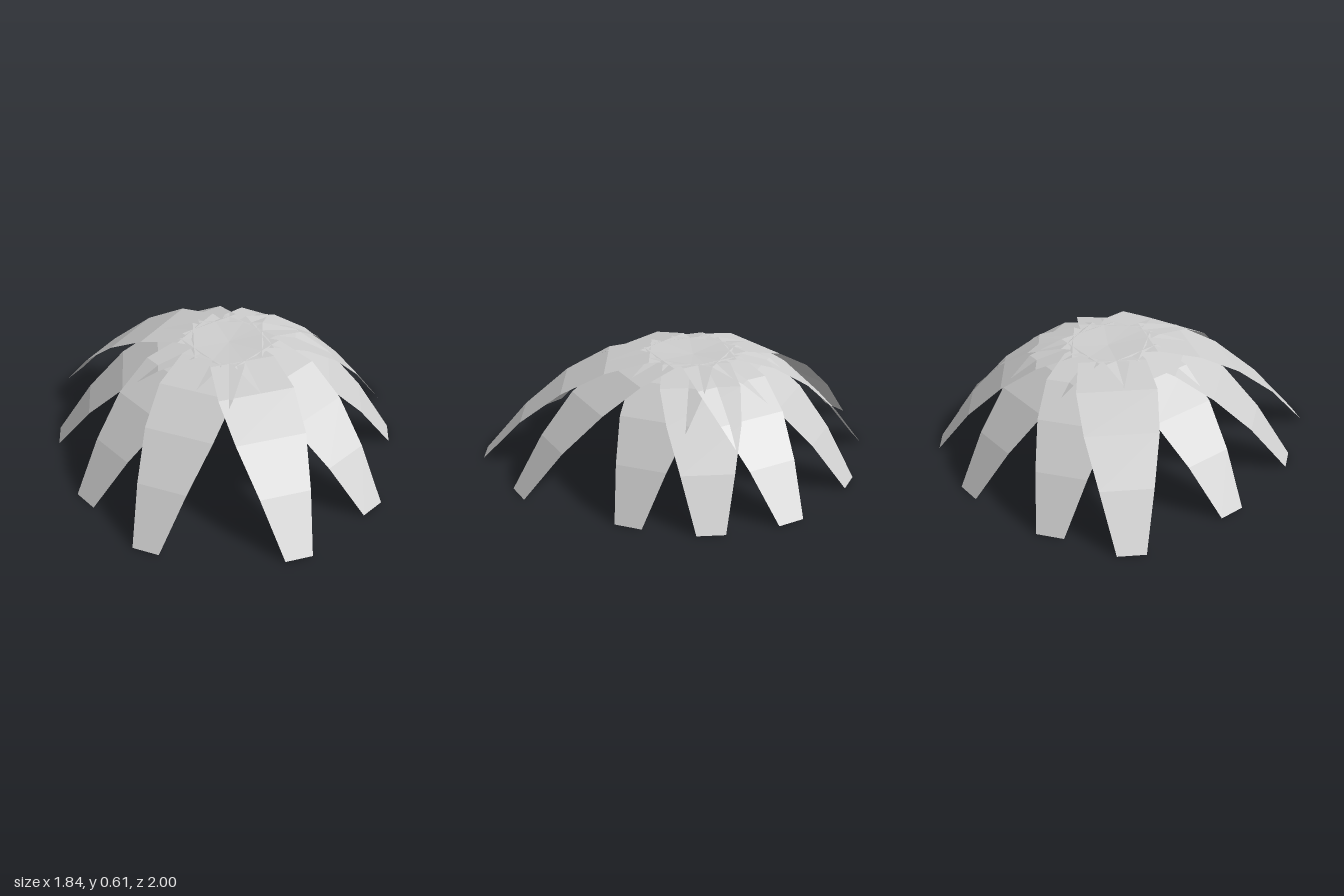
import * as THREE from 'three';

// Stations along a leaf, crown to tip: fraction of reach, height, width
const STATIONS = [
  [0.0, 0.59, 0.22],
  [0.2, 0.605, 0.35],
  [0.405, 0.55, 0.41],
  [0.61, 0.425, 0.375],
  [0.81, 0.24, 0.27],
  [1.0, 0.0, 0.145],
];

// Crown centre and the ground point (x, z) of every leaf tip
const CROWN = new THREE.Vector2(0.02, -0.12);
const TIPS = [
  [0.255, 0.985], [0.69, 0.64], [0.9, 0.0], [0.89, -0.415],
  [0.665, -0.77], [0.155, -0.99], [-0.43, -0.955], [-0.825, -0.785],
  [-0.92, -0.17], [-0.79, 0.42], [-0.5, 0.85],
];

// One drooping strip from the crown to its tip
function leafGeometry(x, z) {
  const reach = new THREE.Vector2(x, z).sub(CROWN);
  const side = new THREE.Vector2(reach.y, -reach.x).normalize();
  const positions = [];
  const index = [];
  STATIONS.forEach(([t, y, width], i) => {
    for (const s of [-0.5, 0.5]) {
      positions.push(
        CROWN.x + reach.x * t + side.x * width * s,
        y,
        CROWN.y + reach.y * t + side.y * width * s,
      );
    }
    if (i > 0) {
      const a = (i - 1) * 2;
      index.push(a, a + 2, a + 1, a + 1, a + 2, a + 3);
    }
  });
  const geometry = new THREE.BufferGeometry();
  geometry.setAttribute('position', new THREE.Float32BufferAttribute(positions, 3));
  geometry.setIndex(index);
  const flat = geometry.toNonIndexed();
  flat.computeVertexNormals();
  return flat;
}

export function createModel() {
  const group = new THREE.Group();
  group.name = 'droopingPlant';

  const leafGrey = new THREE.MeshStandardMaterial({
    color: 0xcccccc, side: THREE.DoubleSide, flatShading: true,
  });
  leafGrey.name = 'leafGrey';

  TIPS.forEach(([x, z], i) => {
    const leaf = new THREE.Mesh(leafGeometry(x, z), leafGrey);
    leaf.name = `leaf${i + 1}`;
    group.add(leaf);
  });
  return group;
}
